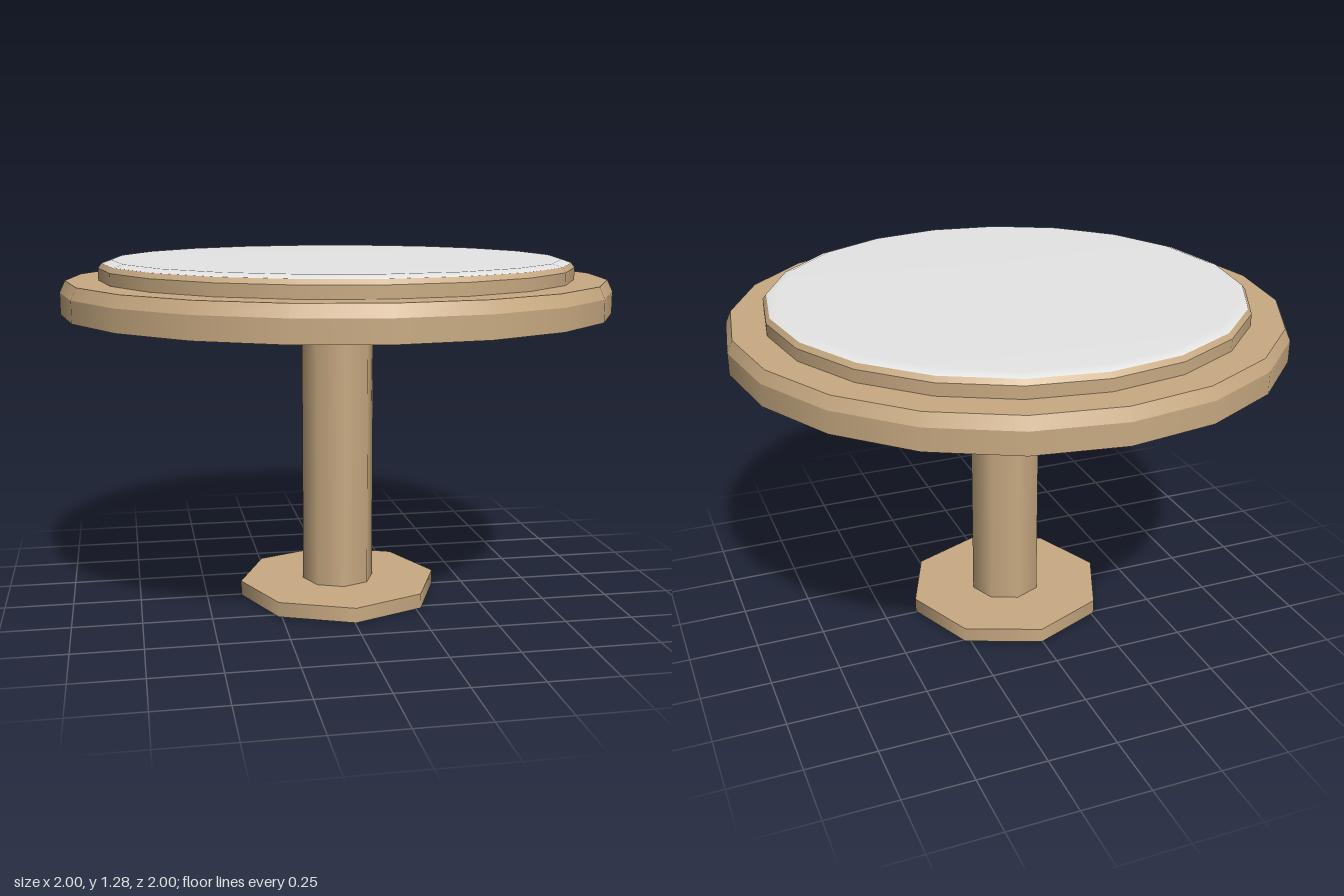
import * as THREE from 'three';

export function createModel() {
  const model = new THREE.Group();
  const tan = new THREE.MeshStandardMaterial({ color: 0xc8aa82 });
  tan.name = 'tan frame';
  const tanOpen = new THREE.MeshStandardMaterial({ color: 0xc8aa82, side: THREE.DoubleSide });
  tanOpen.name = 'tan tube';
  const grey = new THREE.MeshStandardMaterial({ color: 0xe6e6e6 });
  grey.name = 'pale grey pad';

  const add = (parent, name, geometry, material) => {
    const mesh = new THREE.Mesh(geometry, material);
    mesh.name = name;
    parent.add(mesh);
    return mesh;
  };
  const group = (name) => {
    const g = new THREE.Group();
    g.name = name;
    model.add(g);
    return g;
  };
  // Open side wall from radius r0 at y0 up to radius r1 at y1
  const wall = (r0, y0, r1, y1, sides) =>
    new THREE.CylinderGeometry(r1, r0, y1 - y0, sides, 1, true).translate(0, (y0 + y1) / 2, 0);
  // Flat ring at height y, facing up (dir = 1) or down (dir = -1)
  const flat = (inner, outer, y, sides, dir) =>
    new THREE.RingGeometry(inner, outer, sides).rotateX(-dir * Math.PI / 2).translate(0, y, 0);

  // Foot plate, pierced by the hollow column
  const foot = group('foot');
  foot.position.set(0.004, 0, 0.007);
  add(foot, 'footSide', wall(0.375, 0, 0.375, 0.055, 8), tan);
  add(foot, 'footTop', flat(0.135, 0.375, 0.055, 8, 1), tan);
  add(foot, 'footUnderside', flat(0.135, 0.375, 0, 8, -1), tan);
  const column = add(model, 'column', wall(0.135, 0, 0.135, 1.087, 8), tanOpen);
  column.position.set(0.004, 0, 0.007);

  // Wide seat disc with a chamfered upper edge
  const seat = group('seat');
  add(seat, 'seatUnderside', new THREE.CircleGeometry(1, 20).rotateX(Math.PI / 2).translate(0, 1.087, 0), tan);
  add(seat, 'seatSide', wall(1, 1.087, 1, 1.165, 20), tan);
  add(seat, 'seatChamfer', wall(1, 1.165, 0.98, 1.207, 20), tan);
  add(seat, 'seatTop', flat(0.8, 0.98, 1.207, 20, 1), tan);

  // Raised surround and the pad set in it
  const cushion = group('cushion');
  add(cushion, 'cushionSide', wall(0.863, 1.207, 0.863, 1.25, 20), tan);
  add(cushion, 'cushionChamfer', wall(0.863, 1.25, 0.85, 1.267, 20), tan);
  const padProfile = [[0.85, 1.267], [0.815, 1.279], [0, 1.28]].map(([r, y]) => new THREE.Vector2(r, y));
  add(cushion, 'pad', new THREE.LatheGeometry(padProfile, 20), grey);

  return model;
}
